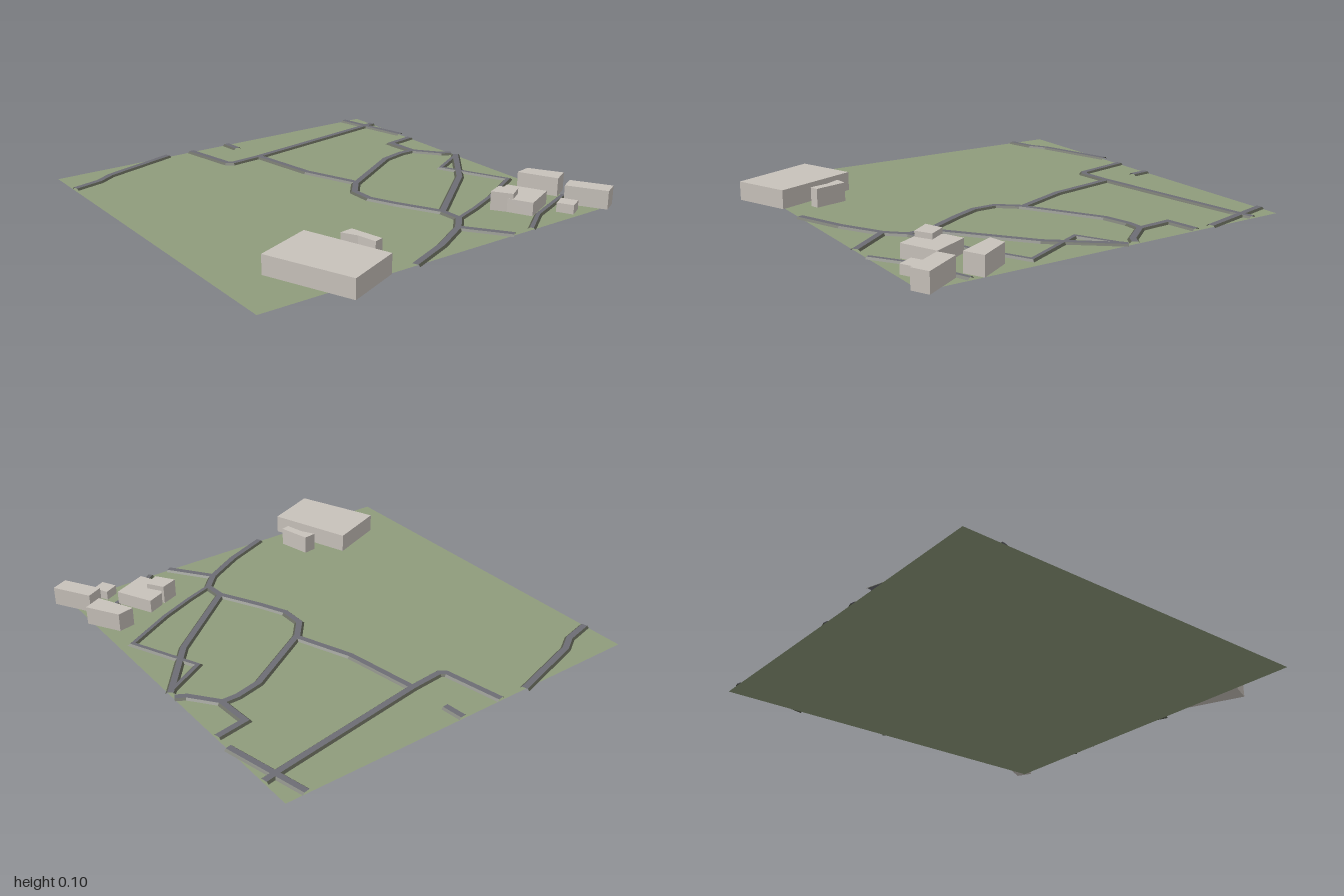
import * as THREE from 'three';

const mat = (name, color, side = THREE.FrontSide) => {
  const m = new THREE.MeshStandardMaterial({ color, side });
  m.name = name;
  return m;
};

// Mitred offset of every point of a path; positive is to the left
function offsetPath(path, dist) {
  return path.map((p, i) => {
    const dir = (a, b) => new THREE.Vector2().subVectors(b, a).normalize();
    const before = i > 0 ? dir(path[i - 1], p) : dir(p, path[i + 1]);
    const after = i < path.length - 1 ? dir(p, path[i + 1]) : before;
    const mid = before.clone().add(after).normalize();
    const stretch = Math.min(1 / Math.max(mid.dot(after), 0.1), 1.8);
    return new THREE.Vector2(p.x + mid.y * dist * stretch, p.y - mid.x * dist * stretch);
  });
}

// Strip between two offset lines, each given as [distance, height]
function strip(path, [dl, yl], [dr, yr]) {
  const left = offsetPath(path, dl), right = offsetPath(path, dr);
  const pos = [];
  for (let i = 0; i < path.length - 1; i++) {
    const a = [left[i].x, yl, left[i].y], b = [right[i].x, yr, right[i].y];
    const c = [right[i + 1].x, yr, right[i + 1].y], d = [left[i + 1].x, yl, left[i + 1].y];
    pos.push(...a, ...b, ...c, ...a, ...c, ...d);
  }
  const g = new THREE.BufferGeometry();
  g.setAttribute('position', new THREE.Float32BufferAttribute(pos, 3));
  g.computeVertexNormals();
  return g;
}

export function createModel() {
  const group = new THREE.Group();
  const green = mat('grass green', 0x8f9c7c, THREE.DoubleSide);
  const asphalt = mat('asphalt grey', 0x6d6d74, THREE.DoubleSide);
  const verge = mat('dark verge', 0x585b4e, THREE.DoubleSide);
  const wall = mat('pale stone', 0xc8c2bb);

  const add = (name, geometry, material, parent = group) => {
    const mesh = new THREE.Mesh(geometry, material);
    mesh.name = name;
    parent.add(mesh);
    return mesh;
  };

  // Flat square of land
  const land = new THREE.PlaneGeometry(1.84, 1.845).rotateX(-Math.PI / 2);
  add('ground', land, green).position.set(-0.053, 0, 0.033);

  // Road centre lines as [x, z]
  const roads = {
    northWestLane: [[-0.97, -0.79], [-0.57, -0.885]],
    westRoad: [[-0.825, -0.885], [-0.805, -0.78], [-0.685, -0.03], [-0.67, 0.135], [-0.69, 0.16], [-0.97, 0.215]],
    middleRoad: [[-0.685, -0.03], [-0.33, -0.09], [-0.06, -0.195]],
    northRoad: [[-0.485, -0.885], [-0.46, -0.735], [-0.29, -0.745], [-0.17, -0.84], [-0.145, -0.885]],
    curvedRoad: [[-0.295, -0.74], [-0.295, -0.665], [-0.265, -0.54], [-0.05, -0.185], [0.04, -0.11],
      [0.155, -0.11], [0.28, -0.165], [0.485, -0.272], [0.59, -0.277]],
    diagonalRoad: [[-0.11, -0.885], [0.17, -0.66], [0.485, -0.272]],
    bentLane: [[-0.1, -0.88], [0.01, -0.68], [0.335, -0.83], [0.465, -0.59], [0.54, -0.415], [0.59, -0.277]],
    eastRoad: [[0.585, -0.28], [0.67, -0.2], [0.775, -0.015], [0.868, 0.21]],
    eastBranch: [[0.67, -0.2], [0.868, -0.345]],
    northEastRoad: [[0.65, -0.88], [0.76, -0.6], [0.865, -0.45]],
    westStub: [[-0.97, 0], [-0.87, -0.01]],
    southWestRoad: [[-0.975, 0.35], [-0.86, 0.73], [-0.81, 0.81], [-0.775, 0.95]],
  };
  const narrow = new Set(['bentLane', 'northEastRoad']);

  // Raised carriageway with a sloping verge on both sides
  for (const [name, points] of Object.entries(roads)) {
    const path = points.map(([x, z]) => new THREE.Vector2(x, z));
    const inner = narrow.has(name) ? 0.009 : 0.014;
    const outer = inner + 0.009, top = 0.01;
    const road = new THREE.Group();
    road.name = name;
    add('carriageway', strip(path, [inner, top], [-inner, top]), asphalt, road);
    add('leftVerge', strip(path, [outer, 0.001], [inner, top]), verge, road);
    add('rightVerge', strip(path, [-inner, top], [-outer, 0.001]), verge, road);
    group.add(road);
  }

  // Buildings: footprint as [x, z] and roof height
  const buildings = [
    ['northHouse', 0.1, [[0.462, -0.827], [0.612, -0.918], [0.655, -0.832], [0.478, -0.747]]],
    ['cornerHouse', 0.1, [[0.702, -0.859], [0.873, -0.962], [0.911, -0.886], [0.74, -0.784]]],
    ['shed', 0.055, [[0.761, -0.742], [0.831, -0.779], [0.863, -0.715], [0.793, -0.678]]],
    ['wideHouse', 0.075, [[0.526, -0.63], [0.697, -0.715], [0.772, -0.55], [0.665, -0.497], [0.562, -0.55]]],
    ['tallAnnex', 0.1, [[0.569, -0.534], [0.644, -0.583], [0.686, -0.512], [0.601, -0.454]]],
    ['southAnnex', 0.1, [[0.593, 0.322], [0.75, 0.285], [0.761, 0.328], [0.67, 0.348], [0.601, 0.386]]],
    ['hall', 0.1, [[0.493, 0.492], [0.891, 0.348], [0.997, 0.604], [0.601, 0.766]]],
  ];
  const base = 0.011;
  for (const [name, height, corners] of buildings) {
    const shape = new THREE.Shape(corners.map(([x, z]) => new THREE.Vector2(x, -z)));
    const geometry = new THREE.ExtrudeGeometry(shape, { depth: height - base, bevelEnabled: false });
    add(name, geometry.rotateX(-Math.PI / 2), wall).position.y = base;
  }
  return group;
}
